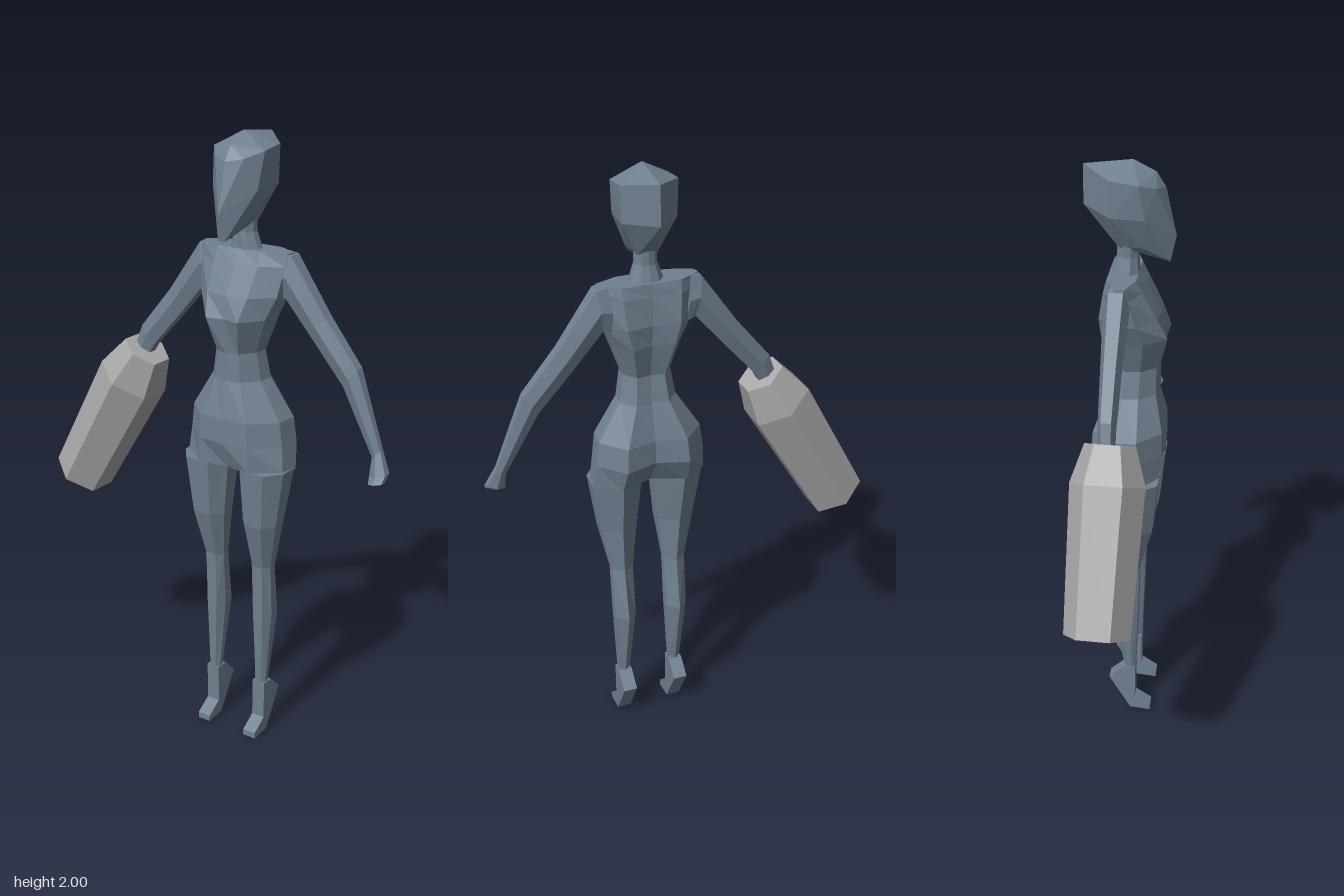
import * as THREE from 'three';
import { ConvexGeometry } from 'three/addons/geometries/ConvexGeometry.js';

// Faceted normals for any geometry
function faceted(geo) {
  const g = geo.index ? geo.toNonIndexed() : geo;
  g.computeVertexNormals();
  return g;
}

// Closed skin over rings of [x, y, z] points, capped at both ends
function loft(rings) {
  const n = rings[0].length;
  const tris = [];
  for (let r = 0; r < rings.length - 1; r++) {
    for (let i = 0; i < n; i++) {
      const j = (i + 1) % n;
      const a = rings[r][i], b = rings[r][j], c = rings[r + 1][j], d = rings[r + 1][i];
      tris.push([a, d, c], [a, c, b]);
    }
  }
  const centre = (ring) => [0, 1, 2].map((k) => ring.reduce((s, p) => s + p[k], 0) / n);
  const first = rings[0], last = rings[rings.length - 1];
  for (let i = 0; i < n; i++) {
    const j = (i + 1) % n;
    tris.push([centre(first), first[i], first[j]], [centre(last), last[j], last[i]]);
  }
  // Turn the faces outward whichever way the rings run
  const v = (p) => new THREE.Vector3(...p);
  const volume = tris.reduce((s, [a, b, c]) => s + v(a).dot(v(b).cross(v(c))), 0);
  if (volume < 0) tris.forEach((t) => t.reverse());
  const g = new THREE.BufferGeometry();
  g.setAttribute('position', new THREE.Float32BufferAttribute(tris.flat(2), 3));
  return faceted(g);
}

// Symmetric ten-sided ring: centre front, front corner, side, back corner, centre back
function bodyRing([y, w, front, frontCorner, backCorner, back]) {
  const half = [[w * 0.5, y, frontCorner], [w * 0.96, y, frontCorner * 0.6 + backCorner * 0.25],
    [w, y, frontCorner * 0.2 + backCorner * 0.5], [w * 0.58, y, backCorner]];
  const other = half.map(([x, yy, z]) => [-x, yy, z]).reverse();
  return [[0, y, front], ...half, [0, y, back], ...other];
}

export function createModel() {
  const model = new THREE.Group();
  const slate = new THREE.MeshStandardMaterial({ color: 0x708090 });
  slate.name = 'slate';
  const grey = new THREE.MeshStandardMaterial({ color: 0xa9a9a9 });
  grey.name = 'grey';

  const figure = new THREE.Group();
  figure.name = 'figure';
  figure.position.x = 0.11;
  model.add(figure);

  const add = (name, geometry, material, parent = figure) => {
    const mesh = new THREE.Mesh(geometry, material);
    mesh.name = name;
    parent.add(mesh);
    return mesh;
  };

  // Torso from shoulders to hips: y, half width, then the depths front to back
  add('torso', loft([
    [1.65, 0.16, 0.03, 0.03, -0.06, -0.06],
    [1.61, 0.157, 0.055, 0.05, -0.07, -0.065],
    [1.52, 0.145, 0.1, 0.095, -0.085, -0.07],
    [1.45, 0.115, 0.115, 0.125, -0.08, -0.06],
    [1.34, 0.077, 0.1, 0.09, -0.045, -0.04],
    [1.25, 0.092, 0.1, 0.09, -0.06, -0.05],
    [1.13, 0.168, 0.12, 0.115, -0.105, -0.08],
    [1.05, 0.178, 0.12, 0.115, -0.112, -0.08],
    [0.965, 0.187, 0.09, 0.11, -0.075, -0.03],
  ].map(bodyRing)), slate);

  // Neck flaring into the shoulders
  add('neck', loft([
    [1.78, 0.035, 0.03, 0.025, -0.035, -0.04],
    [1.7, 0.035, 0.03, 0.025, -0.035, -0.04],
    [1.64, 0.055, 0.03, 0.03, -0.05, -0.055],
  ].map(bodyRing)), slate);

  // Head with a pointed chin and swept-back crown
  const headPoints = [[0, 1.77, 0.142], [0, 1.92, 0.108], [0, 1.965, 0.08], [0, 2, 0.01],
    [0, 1.98, -0.14], [0, 1.855, -0.14]];
  const headSides = [[0.012, 1.69, 0.125], [0.05, 1.93, 0.085], [0.09, 1.95, 0.035],
    [0.088, 1.96, -0.05], [0.085, 1.845, -0.05], [0.08, 1.84, 0.055],
    [0.03, 1.735, -0.03], [0.042, 1.74, 0.045]];
  for (const [x, y, z] of headSides) headPoints.push([x, y, z], [-x, y, z]);
  add('head', faceted(new ConvexGeometry(headPoints.map((p) => new THREE.Vector3(...p)))), slate);

  for (const [side, s] of [['left', 1], ['right', -1]]) {
    // Leg: y, inner x, outer x, front z, back z
    const legRings = [
      [0.97, 0.02, 0.187, 0.11, -0.07],
      [0.78, 0.036, 0.16, 0.092, -0.035],
      [0.62, 0.055, 0.128, 0.05, -0.022],
      [0.44, 0.056, 0.126, 0.045, -0.055],
      [0.19, 0.072, 0.112, 0.037, -0.004],
      [0.06, 0.074, 0.11, 0.035, 0.0],
    ].map(([y, xi, xo, f, b]) => {
      const m = (xi + xo) / 2, w = (xo - xi) / 2, d = f - b;
      return [[m - w * 0.5, y, f], [m + w * 0.5, y, f], [xo, y, f - d * 0.3], [xo, y, f - d * 0.65],
        [m, y, b], [xi, y, f - d * 0.65], [xi, y, f - d * 0.3]].map(([x, yy, z]) => [x * s, yy, z]);
    });
    add(side + 'Leg', loft(legRings), slate);

    // Foot on tiptoe, a side profile (z, y) given some width
    const profile = new THREE.Shape([[0.037, 0.19], [0.036, 0.06], [0.09, 0.025], [0.09, 0.005],
      [0.02, 0.01], [-0.055, 0.14], [-0.004, 0.19]].map(([z, y]) => new THREE.Vector2(-z, y)));
    const footGeo = new THREE.ExtrudeGeometry(profile, { depth: 0.046, bevelEnabled: false });
    footGeo.translate(0, 0, -0.023).rotateY(Math.PI / 2);
    add(side + 'Foot', faceted(footGeo), slate).position.x = 0.092 * s;

    // Arm and hand: outer x, y, inner x, y, front z, back z
    const armRings = [
      [0.13, 1.65, 0.115, 1.5, 0.02, -0.06],
      [0.165, 1.645, 0.147, 1.515, 0.02, -0.06],
      [0.285, 1.475, 0.245, 1.4, 0.013, -0.053],
      [0.4, 1.335, 0.355, 1.275, 0.012, -0.045],
      [0.492, 1.1, 0.465, 1.075, 0.012, -0.02],
      [0.522, 1.035, 0.468, 1.02, 0.035, -0.015],
      [0.523, 1.015, 0.478, 1.005, 0.055, 0.015],
    ].map(([xo, yo, xi, yi, f, b]) => {
      const c = (f + b) / 2, q = (f - b) * 0.28, mx = (xo + xi) / 2, my = (yo + yi) / 2;
      return [[xo, yo, c + q], [mx, my, f], [xi, yi, c + q], [xi, yi, c - q], [mx, my, b], [xo, yo, c - q]]
        .map(([x, y, z]) => [x * s, y, z]);
    });
    add(side + 'Arm', loft(armRings), slate);
  }

  // Six-sided sleeve around the right forearm
  const outline = [[0, 0], [0.102, 0], [0.115, 0.455], [0.078, 0.575], [0, 0.575]]
    .map(([r, y]) => new THREE.Vector2(r, y));
  const cannon = add('forearmCasing', faceted(new THREE.LatheGeometry(outline, 6)), grey, model);
  cannon.position.set(-0.5625, 0.757, -0.006);
  cannon.rotation.z = -Math.PI / 6;

  return model;
}
